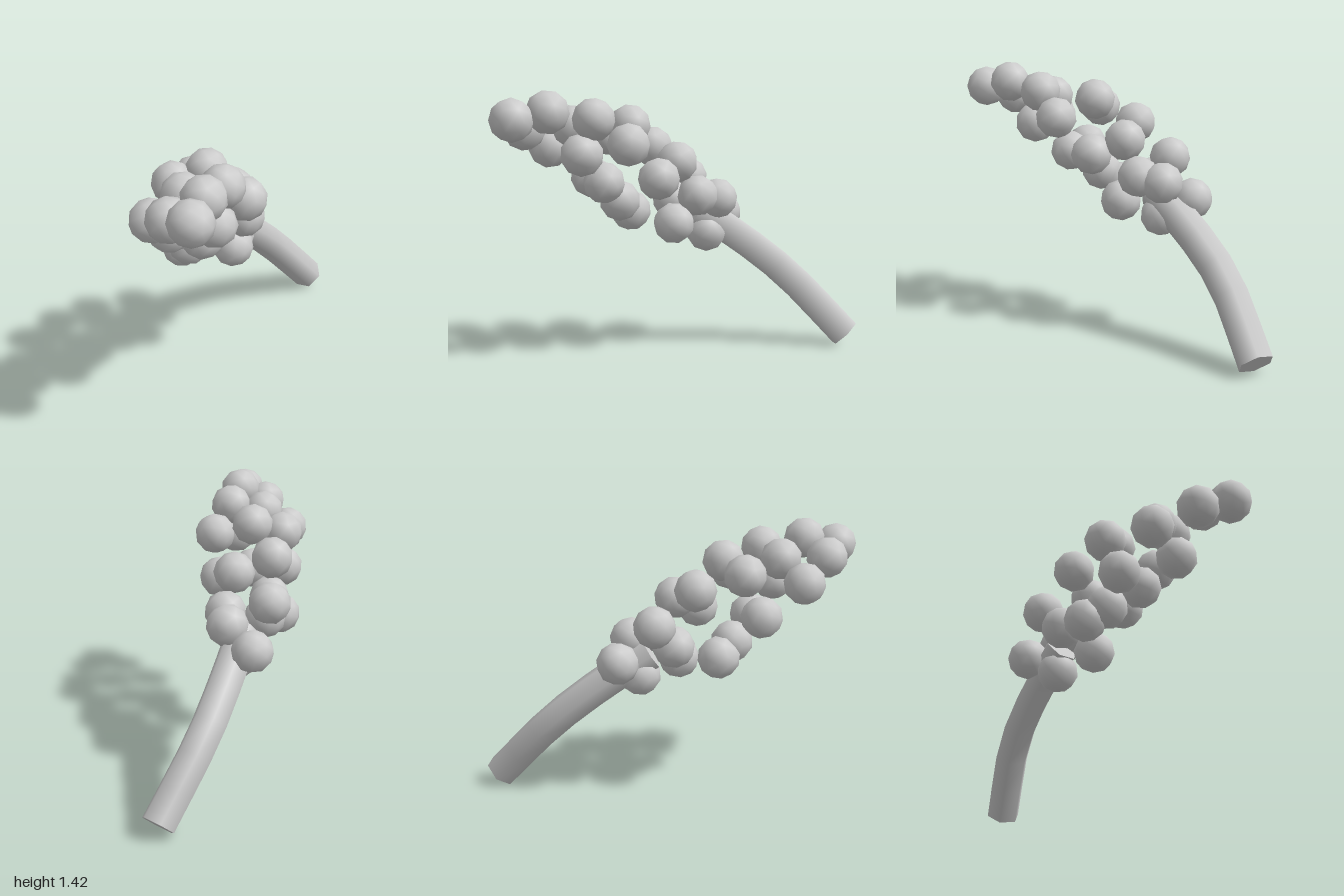
import * as THREE from 'three';

const BERRY_RADIUS = 0.11;

// Berry centres [x, y, z], from the tip of the bunch back to the stem
const BERRIES = [
  [0.255, 1.28, 0.89], [0.1, 1.23, 0.825], [0.215, 1.315, 0.715], [-0.085, 1.125, 0.69],
  [0.02, 1.235, 0.575], [0.18, 1.275, 0.485], [0.17, 1.1, 0.545], [-0.135, 0.96, 0.47],
  [0.025, 0.943, 0.42], [-0.16, 1.18, 0.38], [0.205, 1.15, 0.315], [-0.115, 0.83, 0.32],
  [-0.03, 1.235, 0.275], [-0.2, 0.765, 0.25], [0.105, 0.965, 0.145], [-0.195, 1.11, 0.13],
  [-0.015, 0.715, 0.045], [-0.025, 1.04, 0.025], [-0.2, 0.82, 0.02], [-0.26, 0.935, -0.075],
  [-0.02, 0.86, -0.085], [-0.12, 0.65, -0.155], [-0.08, 0.835, -0.205], [-0.24, 0.74, -0.265],
];

export function createModel() {
  const group = new THREE.Group();
  const material = new THREE.MeshStandardMaterial({ color: 0xcccccc });

  // Bunch of low-poly berries, each turned a little differently
  const bunch = new THREE.Group();
  bunch.name = 'berryBunch';
  const berryGeometry = new THREE.IcosahedronGeometry(BERRY_RADIUS, 1);
  BERRIES.forEach(([x, y, z], i) => {
    const berry = new THREE.Mesh(berryGeometry, material);
    berry.name = 'berry';
    berry.position.set(x, y, z);
    berry.rotation.set(i * 1.3, i * 2.1, i * 0.7);
    bunch.add(berry);
  });
  group.add(bunch);

  // Bent six-sided stem running up into the bunch
  const sides = 6;
  const path = new THREE.CatmullRomCurve3([
    new THREE.Vector3(-0.02, 0.065, -0.925),
    new THREE.Vector3(-0.12, 0.405, -0.605),
    new THREE.Vector3(-0.135, 0.65, -0.29),
    new THREE.Vector3(-0.125, 0.77, -0.1),
  ]);
  const stemGeometry = new THREE.TubeGeometry(path, 6, 0.092, sides, false);
  const stem = new THREE.Mesh(stemGeometry, material);
  stem.name = 'stem';
  group.add(stem);

  // Flat caps fanned over the first and last rings of the stem
  const capMaterial = new THREE.MeshStandardMaterial({ color: 0xcccccc, side: THREE.DoubleSide });
  const ringVertices = stemGeometry.attributes.position;
  for (const start of [0, ringVertices.count - sides - 1]) {
    const points = [];
    for (let i = 0; i < sides; i++) {
      points.push(new THREE.Vector3().fromBufferAttribute(ringVertices, start + i));
    }
    const geometry = new THREE.BufferGeometry().setFromPoints(points);
    const index = [];
    for (let i = 1; i < sides - 1; i++) {
      if (start === 0) index.push(0, i, i + 1);
      else index.push(0, i + 1, i);
    }
    geometry.setIndex(index);
    geometry.computeVertexNormals();
    const cap = new THREE.Mesh(geometry, capMaterial);
    cap.name = 'stemCap';
    group.add(cap);
  }

  return group;
}
